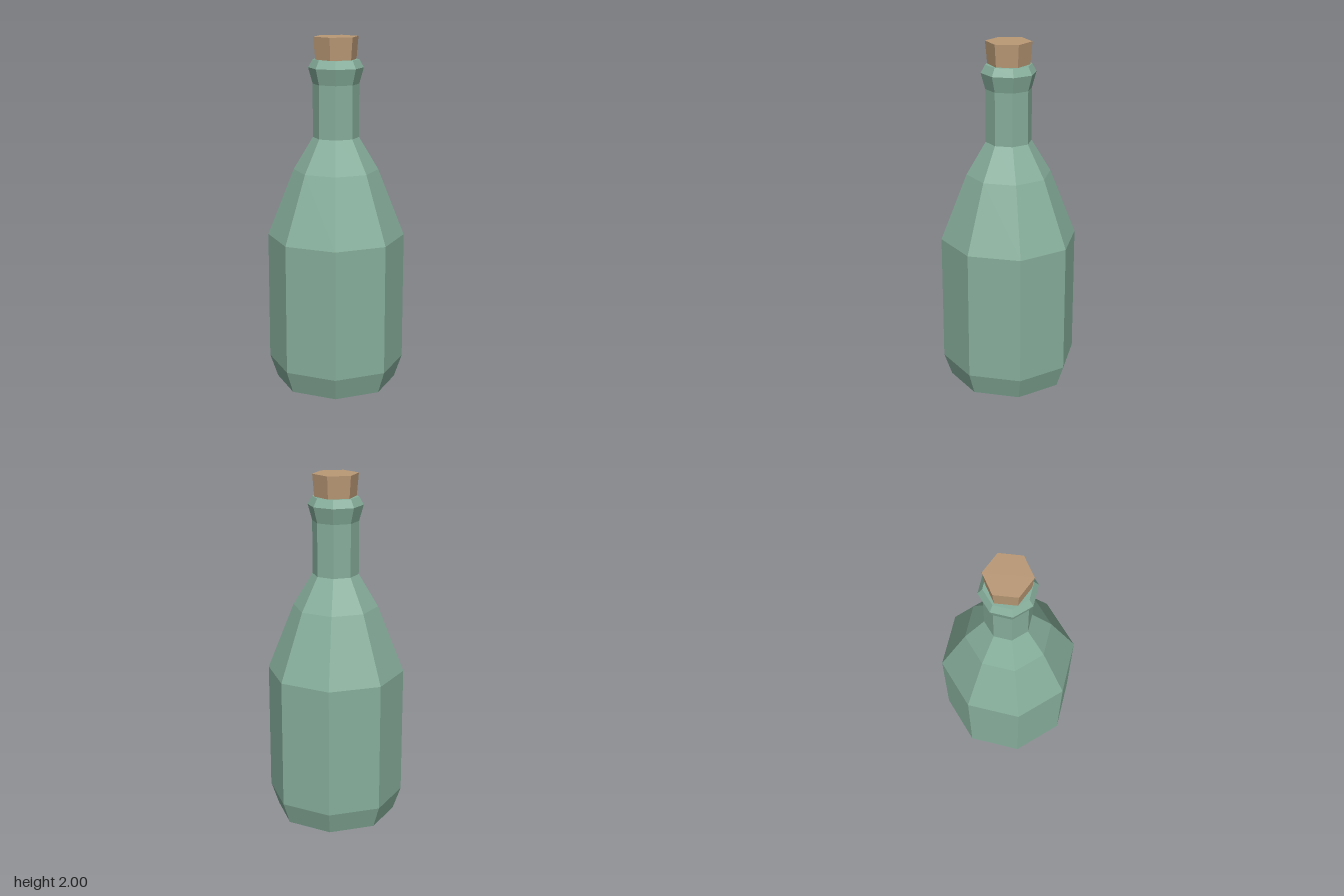
import * as THREE from 'three';

export function createModel() {
  const model = new THREE.Group();
  model.name = 'corkedBottle';

  const glass = new THREE.MeshStandardMaterial({ color: 0x87af9c, flatShading: true });
  glass.name = 'green glass';
  const corkBrown = new THREE.MeshStandardMaterial({ color: 0xba9976, flatShading: true });
  corkBrown.name = 'cork brown';

  // Eight-sided bottle: radius and height from the base to the closed lip
  const profile = [
    [0, 0], [0.345, 0], [0.39, 0.13], [0.39, 0.873], [0.24, 1.255],
    [0.13, 1.44], [0.13, 1.74], [0.155, 1.83], [0.13, 1.875], [0, 1.875],
  ].map(([r, y]) => new THREE.Vector2(r, y));
  const bottle = new THREE.Mesh(new THREE.LatheGeometry(profile, 8), glass);
  bottle.name = 'bottle';
  model.add(bottle);

  // Six-sided stopper, wider at the top, with corners on the x axis
  const corkHeight = 0.125;
  const cork = new THREE.Mesh(
    new THREE.CylinderGeometry(0.129, 0.118, corkHeight, 6).rotateY(Math.PI / 6), corkBrown);
  cork.name = 'cork';
  cork.position.y = 2 - corkHeight / 2;
  model.add(cork);

  return model;
}
